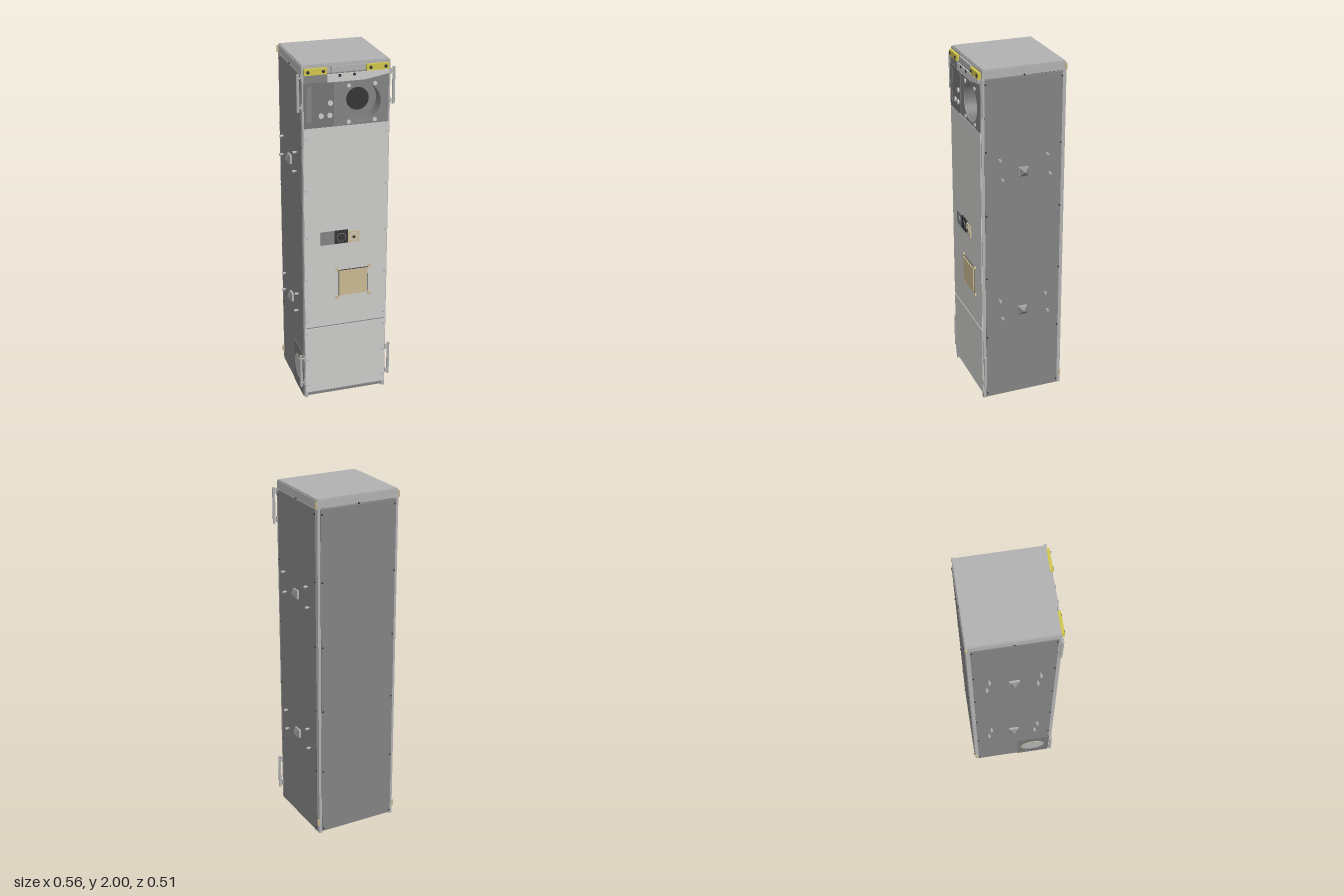
import * as THREE from 'three';

const mat = (name, color) => Object.assign(new THREE.MeshStandardMaterial({ color }), { name });

export function createModel() {
  const root = new THREE.Group();
  root.name = 'equipmentCabinet';
  const panelM = mat('lightPanel', 0xcacac8), frameM = mat('frameGrey', 0xb0b0b0);
  const darkM = mat('darkGrey', 0x828282), doorM = mat('doorGrey', 0x747474);
  const blackM = mat('black', 0x343434), tanM = mat('tan', 0xc8b890), yellowM = mat('yellow', 0xcfc44c);
  const tubeM = mat('ductGrey', 0x7a7a7a);
  tubeM.side = THREE.DoubleSide;

  const add = (name, geo, m, x = 0, y = 0, z = 0) => {
    const mesh = new THREE.Mesh(geo, m);
    mesh.name = name;
    mesh.position.set(x, y, z);
    root.add(mesh);
    return mesh;
  };
  // Box given by its lower and upper limits
  const box = (name, m, x0, x1, y0, y1, z0, z1) =>
    add(name, new THREE.BoxGeometry(x1 - x0, y1 - y0, z1 - z0), m, (x0 + x1) / 2, (y0 + y1) / 2, (z0 + z1) / 2);
  // Cylinder along x, y or z
  const rod = (name, m, axis, r, len, x, y, z, seg = 16) => {
    const c = add(name, new THREE.CylinderGeometry(r, r, len, seg), m, x, y, z);
    if (axis === 'x') c.rotation.z = Math.PI / 2;
    if (axis === 'z') c.rotation.x = Math.PI / 2;
    return c;
  };
  const plate = (name, m, shape, depth, z) =>
    add(name, new THREE.ExtrudeGeometry(shape, { depth, bevelEnabled: false, curveSegments: 24 }), m, 0, 0, z);
  const polygon = pts => new THREE.Shape(pts.map(p => new THREE.Vector2(...p)));

  // Hollow cabinet: base, top cap, back and corner posts
  box('base', darkM, -0.235, 0.235, 0.005, 0.03, -0.245, 0.222);
  box('topCap', frameM, -0.245, 0.245, 1.95, 1.994, -0.25, 0.225);
  box('topCapCrown', frameM, -0.24, 0.24, 1.994, 2, -0.245, 0.22);
  box('backPanel', darkM, -0.228, 0.228, 0.02, 1.945, -0.256, -0.24);
  for (const s of [-1, 1]) {
    const sx = (a, b) => (s > 0 ? [a, b] : [-b, -a]);
    box('rearPost', frameM, ...sx(0.225, 0.244), 0, 1.95, -0.251, -0.23);
    box('frontPost', frameM, ...sx(0.225, 0.244), 0, 1.95, 0.212, 0.232);
    box('sidePanel', darkM, ...sx(0.235, 0.247), 0.005, 1.945, -0.23, 0.214);
    for (const y of [0.03, 0.405, 0.785, 1.17, 1.545, 1.92]) {
      for (const z of [-0.225, 0.208]) rod('sideScrew', blackM, 'x', 0.005, 0.006, s * 0.247, y, z, 8);
      rod('backScrew', blackM, 'z', 0.005, 0.006, s * 0.22, y, -0.256, 8);
    }
    rod('sideTopScrew', blackM, 'x', 0.005, 0.006, s * 0.245, 1.952, -0.01, 8);

    // Tan pins at the rear corners
    for (const y of [0.07, 1.97]) rod('cornerPin', tanM, 'y', 0.007, 0.035, s * 0.247, y, -0.247);

    // Vertical pull handles beside the front
    for (const y of [0.18, 1.853]) {
      rod('handleBar', frameM, 'y', 0.008, 0.205, s * 0.265, y, 0.227);
      for (const d of [-0.08, 0.08]) {
        rod('handleArm', frameM, 'x', 0.005, 0.024, s * 0.253, y + d, 0.227, 10);
        box('handleFoot', frameM, ...sx(0.243, 0.25), y + d - 0.015, y + d + 0.015, 0.218, 0.235);
      }
    }

    // Pointed side mounts, each with four pins
    for (const y of [0.552, 1.41]) {
      box('mountPlate', frameM, ...sx(0.246, 0.259), y - 0.024, y + 0.024, -0.034, 0.022);
      const cone = new THREE.ConeGeometry(0.038, 0.023, 4).toNonIndexed();
      cone.rotateY(Math.PI / 4);
      cone.computeVertexNormals();
      add('mountPoint', cone, darkM, s * 0.2705, y, -0.006).rotation.z = -s * Math.PI / 2;
      for (const [dy, z] of [[0.085, -0.142], [0.085, 0.134], [-0.03, -0.157], [-0.03, 0.12]]) {
        rod('pinStem', frameM, 'x', 0.003, 0.02, s * 0.253, y + dy, z, 8);
        rod('mountPin', frameM, 'x', 0.0075, 0.018, s * 0.264, y + dy, z, 12);
      }
    }
  }
  rod('backTopScrew', blackM, 'z', 0.005, 0.008, 0, 1.952, -0.252, 8);

  // Front door in two parts with a seam
  box('lowerFrontPanel', panelM, -0.24, 0.24, 0.033, 0.452, 0.224, 0.236);
  box('panelSeam', darkM, -0.235, 0.235, 0.45, 0.462, 0.222, 0.232);
  box('upperFrontPanel', panelM, -0.24, 0.24, 0.46, 1.655, 0.224, 0.236);
  for (const x of [-0.228, 0.228]) {
    for (const y of [0.08, 0.25, 0.42, 0.5, 0.76, 1.02, 1.3, 1.6]) {
      rod('frontScrew', frameM, 'z', 0.006, 0.006, x, y, 0.236, 10);
    }
  }

  // Upper service panel with a round recess
  const cx = 0.085, cy = 1.775;
  const service = polygon([[-0.235, 1.655], [0.235, 1.655], [0.235, 1.95], [-0.235, 1.95]]);
  service.holes.push(new THREE.Path().absarc(cx, cy, 0.106, 0, Math.PI * 2, true));
  plate('servicePanel', darkM, service, 0.01, 0.224);
  const duct = add('ductWall', new THREE.CylinderGeometry(0.106, 0.106, 0.07, 40, 1, true), tubeM, cx, cy, 0.192);
  duct.rotation.x = Math.PI / 2;
  add('ductBack', new THREE.CircleGeometry(0.106, 40), darkM, cx, cy, 0.158);
  rod('ductOpening', blackM, 'z', 0.063, 0.006, cx, cy, 0.16, 32);
  for (const dx of [-0.073, 0.073]) {
    for (const dy of [-0.1, 0.1]) rod('ductBolt', panelM, 'z', 0.011, 0.008, cx + dx, cy + dy, 0.236);
  }

  // Small service door with slot and knobs
  box('serviceDoor', doorM, -0.235, -0.07, 1.66, 1.905, 0.23, 0.238);
  box('doorSlot', darkM, -0.222, -0.195, 1.69, 1.89, 0.237, 0.24);
  for (const [x, y] of [[-0.092, 1.79], [-0.143, 1.722], [-0.095, 1.722]]) {
    rod('doorKnob', panelM, 'z', 0.014, 0.01, x, y, 0.241);
  }

  // Header: yellow plates, white bracket and grip
  for (const x of [-0.172, 0.172]) {
    box('yellowPlate', yellowM, x - 0.062, x + 0.062, 1.948, 1.982, 0.225, 0.242);
    for (const d of [-0.042, 0.042]) rod('plateScrew', blackM, 'z', 0.009, 0.006, x + d, 1.965, 0.242, 12);
  }
  box('topGrip', frameM, -0.085, 0.1, 1.955, 1.985, 0.225, 0.236);
  plate('headerBracket', panelM,
    polygon([[-0.108, 1.902], [0.1, 1.902], [0.235, 1.925], [0.235, 1.946], [-0.108, 1.946]]), 0.006, 0.235);
  for (const x of [-0.04, 0.04]) rod('bracketScrew', blackM, 'z', 0.008, 0.004, x, 1.936, 0.241, 12);

  // Latch row: grey, black and tan units
  box('greyLatch', darkM, -0.148, -0.07, 0.97, 1.048, 0.235, 0.243);
  rod('greyLatchButton', darkM, 'z', 0.02, 0.008, -0.109, 1.008, 0.246, 20);
  box('blackLatch', blackM, -0.07, 0.01, 0.97, 1.048, 0.235, 0.243);
  rod('blackDial', doorM, 'z', 0.026, 0.004, -0.03, 1.008, 0.244, 24);
  rod('blackDialCap', blackM, 'z', 0.022, 0.006, -0.03, 1.008, 0.245, 24);
  box('tanLatch', tanM, 0.01, 0.075, 0.97, 1.035, 0.235, 0.243);
  rod('tanDial', panelM, 'z', 0.025, 0.004, 0.042, 1.003, 0.244, 24);
  rod('tanDialRing', tanM, 'z', 0.019, 0.006, 0.042, 1.003, 0.244, 24);
  rod('tanDialCentre', blackM, 'z', 0.008, 0.012, 0.042, 1.003, 0.244, 12);

  // Tan access cover with corner bolts
  box('coverRim', blackM, -0.044, 0.128, 0.643, 0.803, 0.235, 0.2385);
  box('accessCover', tanM, -0.04, 0.124, 0.647, 0.799, 0.235, 0.246);
  for (const x of [-0.053, 0.137]) {
    for (const y of [0.635, 0.808]) rod('coverBolt', tanM, 'z', 0.01, 0.009, x, y, 0.239, 12);
  }

  // Round outlet low on the right side
  box('outletPlate', doorM, -0.251, -0.246, 0.005, 0.285, 0.02, 0.218);
  rod('outletRing', tanM, 'x', 0.073, 0.004, -0.251, 0.15, 0.115, 32);
  rod('outletDisc', frameM, 'x', 0.068, 0.006, -0.251, 0.15, 0.115, 32);
  return root;
}
